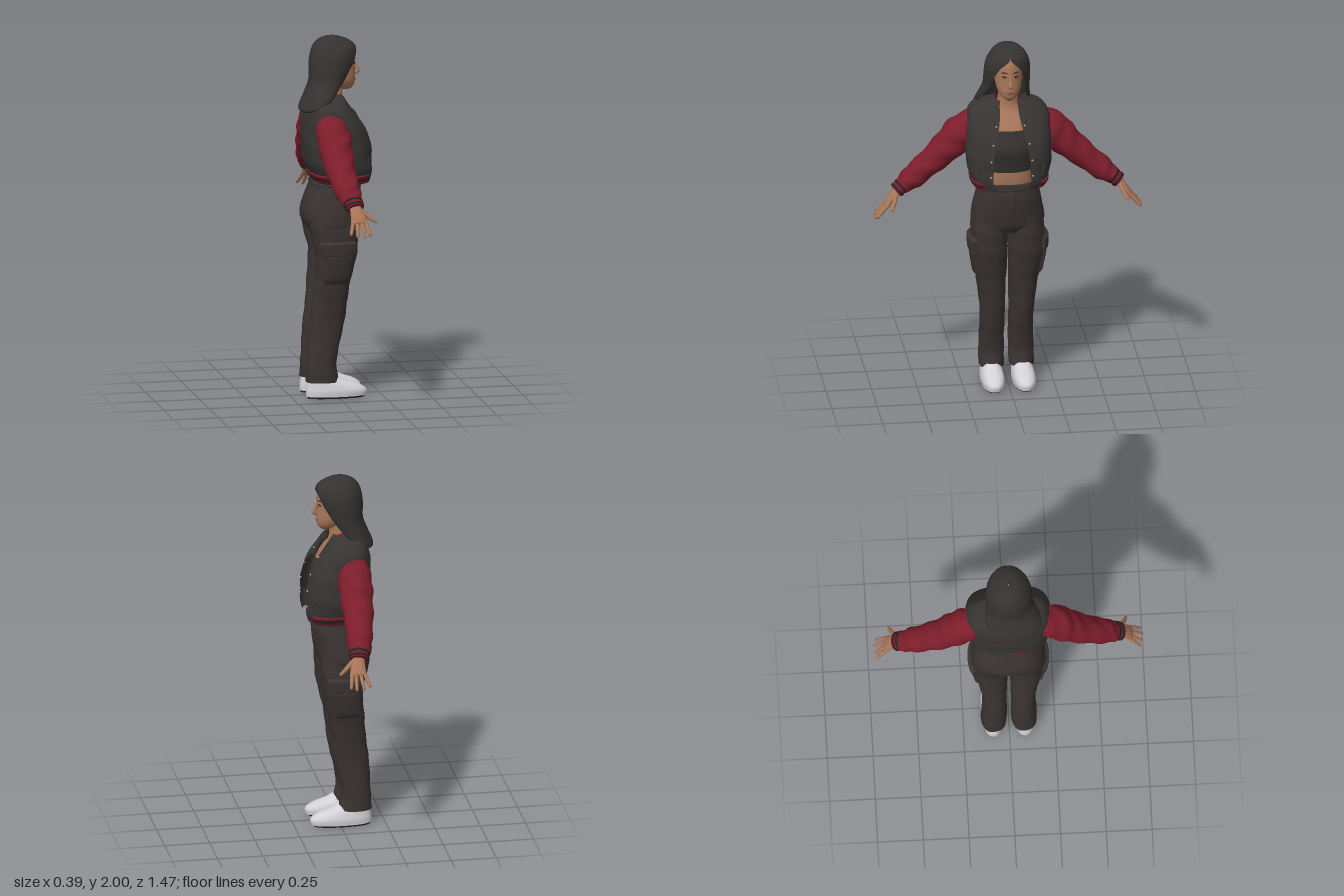
import * as THREE from 'three';
import { toCreasedNormals } from 'three/addons/utils/BufferGeometryUtils.js';

const mat = (name, color) => new THREE.MeshStandardMaterial({ name, color, side: THREE.DoubleSide });
const PI = Math.PI;
const pw = (v, p) => Math.sign(v) * Math.abs(v) ** p;

// Skin a grid of points (rings x columns), optionally with flat ends
function skin(rings, cap) {
  const cols = rings[0].length, pos = [], idx = [];
  rings.forEach(r => r.forEach(p => pos.push(p.x, p.y, p.z)));
  for (let i = 0; i < rings.length - 1; i++) for (let j = 0; j < cols - 1; j++) {
    const a = i * cols + j, b = a + cols;
    idx.push(a, b, b + 1, a, b + 1, a + 1);
  }
  if (cap) [0, rings.length - 1].forEach((r, end) => {
    const c = rings[r].reduce((s, p) => s.add(p), new THREE.Vector3()).divideScalar(cols);
    const k = pos.length / 3;
    pos.push(c.x, c.y, c.z);
    for (let j = 0; j < cols - 1; j++) {
      const a = r * cols + j;
      if (end) idx.push(k, a + 1, a);
      else idx.push(k, a, a + 1);
    }
  });
  const g = new THREE.BufferGeometry();
  g.setAttribute('position', new THREE.Float32BufferAttribute(pos, 3));
  g.setIndex(idx);
  // Enlarged while smoothing so that small parts keep distinct corners
  return toCreasedNormals(g.scale(100, 100, 100), 0.9).scale(0.01, 0.01, 0.01);
}

// Smooth interpolation of section rows at height y; missing columns count as zero
function sample(rows, y) {
  let i = 0;
  while (i < rows.length - 2 && y < rows[i + 1][0]) i++;
  const at = (k, c) => rows[Math.min(Math.max(k, 0), rows.length - 1)][c] ?? 0;
  const h = at(i + 1, 0) - at(i, 0), t = (y - at(i, 0)) / h, t2 = t * t, t3 = t2 * t;
  const slope = (k, c) => (at(k + 1, c) - at(k - 1, c)) / (at(k + 1, 0) - at(k - 1, 0)) * h;
  return [0, 1, 2, 3, 4, 5, 6].map(c => (2 * t3 - 3 * t2 + 1) * at(i, c) + (t3 - 2 * t2 + t) * slope(i, c)
    + (3 * t2 - 2 * t3) * at(i + 1, c) + (t3 - t2) * slope(i + 1, c));
}

// Loft of rows [y, cx, rx, zFront, zBack, openAngle, tilt], listed from top to bottom.
// With range [yTop, yBottom, angle0, angle1] it makes a raised patch on that surface.
function loft(rows, { p = 1, segs = 40, sub = 4, fold = 0, side = 1, range, grow = 0, cap } = {}) {
  const ys = [];
  if (range) {
    for (let i = 0; i <= 8; i++) ys.push(range[0] + (range[1] - range[0]) * i / 8);
    segs = Math.max(8, Math.ceil((range[3] - range[2]) * 11));
  } else rows.forEach((r, i) => {
    if (i) for (let k = 1; k <= sub; k++) ys.push(rows[i - 1][0] + (r[0] - rows[i - 1][0]) * k / sub);
    else ys.push(r[0]);
  });
  return skin(ys.map((y, i) => {
    const [, cx, rx, zf, zb, open, tilt] = sample(rows, y);
    const o = Math.max(open, 0), a0 = range ? range[2] : o, a1 = range ? range[3] : 2 * PI - o;
    return Array.from({ length: segs + 1 }, (_, j) => {
      const a = a0 + (a1 - a0) * j / segs;
      const rim = i === 0 || i === ys.length - 1 || j === 0 || j === segs;
      const g = rim ? 0 : grow, f = 1 + fold * Math.sin(3 * a + 38 * y) * Math.sin(2 * a - 17 * y);
      return new THREE.Vector3(cx * side + (rx + g) * f * pw(Math.sin(a), p),
        y + tilt * Math.cos(a), (zf + zb) / 2 + ((zf - zb) / 2 + g) * f * pw(Math.cos(a), p));
    });
  }), cap);
}

// Oval tube through rows [x, y, z, thickness, width]
function sweep(rows, { side = 1, n = 24, segs = 20, fold = 0 } = {}) {
  const curve = new THREE.CatmullRomCurve3(rows.map(r => new THREE.Vector3(r[0] * side, r[1], r[2])));
  return skin(Array.from({ length: n + 1 }, (_, i) => {
    const u = i / n, k = Math.min(Math.floor(u * (rows.length - 1)), rows.length - 2), f = u * (rows.length - 1) - k;
    const ra = THREE.MathUtils.lerp(rows[k][3], rows[k + 1][3], f), rb = THREE.MathUtils.lerp(rows[k][4], rows[k + 1][4], f);
    const c = curve.getPoint(u), t = curve.getTangent(u);
    const w = new THREE.Vector3(0, 0, 1).addScaledVector(t, -t.z).normalize();
    const s = w.clone().cross(t);
    return Array.from({ length: segs + 1 }, (_, j) => {
      const a = 2 * PI * j / segs, q = 1 + fold * Math.sin(30 * u + 2 * Math.sin(a + 1) + 2 * a);
      return c.clone().addScaledVector(w, rb * q * Math.cos(a)).addScaledVector(s, ra * q * Math.sin(a));
    });
  }), true);
}

// Section rows for the main forms
const HEAD = [[1.97, 0, .03, .05, -.06], [1.94, 0, .062, .092, -.1], [1.88, 0, .078, .113, -.11], [1.82, 0, .076, .113, -.1],
  [1.76, 0, .066, .115, -.06], [1.72, 0, .045, .108, -.02], [1.7, 0, .02, .09, .03]];
const HAIR = [[2, 0, .004, -.016, -.024], [1.992, 0, .042, .03, -.062], [1.975, 0, .072, .075, -.095], [1.945, 0, .1, .113, -.12, .03],
  [1.9, -.002, .12, .12, -.135, .42], [1.84, -.003, .127, .108, -.142, .68], [1.76, -.006, .13, .07, -.143, .85, .004],
  [1.69, -.016, .145, .03, -.175, .95, .02], [1.64, -.022, .155, 0, -.2, 1, .035], [1.62, -.02, .14, -.02, -.185, 1, .035], [1.615, -.01, .08, -.05, -.14, 1, .03]];
const TORSO = [[1.76, 0, .05, .05, -.06], [1.68, 0, .056, .042, -.06], [1.63, 0, .075, .05, -.08], [1.59, 0, .13, .075, -.11],
  [1.52, 0, .15, .115, -.125], [1.42, 0, .15, .148, -.13], [1.32, 0, .135, .125, -.11], [1.24, 0, .135, .12, -.1], [1.18, 0, .14, .11, -.1]];
const JACKET = [[1.68, 0, .075, .035, -.085, .5], [1.665, 0, .13, .045, -.11, .3], [1.645, 0, .185, .055, -.14, .17], [1.6, 0, .22, .085, -.162, .14],
  [1.52, 0, .233, .145, -.173, .2], [1.42, 0, .234, .186, -.175, .29], [1.32, 0, .23, .195, -.167, .33], [1.25, 0, .212, .196, -.142, .38], [1.2, 0, .188, .186, -.115, .42]];
const HIPS = [[1.22, 0, .153, .132, -.12], [1.12, 0, .178, .14, -.16], [1.02, 0, .197, .128, -.186], [.96, 0, .199, .115, -.168], [.92, 0, .17, .09, -.13]];
const LEG = [[1.02, .1, .09, .115, -.16], [.92, .102, .099, .111, -.152], [.8, .101, .099, .1, -.125], [.6, .088, .08, .06, -.135],
  [.4, .079, .067, .034, -.157], [.2, .081, .069, -.008, -.17], [.09, .083, .069, .006, -.176]];
const SHOE = [[.115, .085, .042, .01, -.15], [.09, .085, .052, .06, -.165], [.067, .085, .059, .125, -.17], [.04, .086, .064, .162, -.174], [.01, .086, .062, .16, -.174]];
const SLEEVE = [[.17, 1.54, -.06, .07, .08], [.25, 1.475, -.055, .095, .094], [.325, 1.395, -.052, .087, .09], [.43, 1.302, -.045, .07, .078],
  [.53, 1.222, -.03, .064, .068], [.585, 1.182, -.02, .042, .055]];

export function createModel() {
  const M = {
    skin: mat('skin', 0xa87659), hair: mat('hair', 0x363232), jacket: mat('jacket black', 0x383434), top: mat('top charcoal', 0x353131),
    red: mat('sleeve red', 0x7c1d2b), pants: mat('trouser charcoal', 0x393331), shoe: mat('shoe white', 0xd2d2d6),
    dark: mat('dark trim', 0x262123), lips: mat('lips', 0x8a5348), metal: mat('snap metal', 0xa8a49c),
  };
  const body = new THREE.Group();
  body.name = 'figure';
  const add = (name, geo, m) => {
    const mesh = new THREE.Mesh(geo, m);
    mesh.name = name;
    body.add(mesh);
    return mesh;
  };

  // Head, face and hair
  add('head', loft(HEAD, { cap: true }), M.skin);
  add('nose', sweep([[0, 1.86, .108, .004, .004], [0, 1.825, .12, .008, .009], [0, 1.797, .13, .014, .012], [0, 1.785, .112, .008, .008]], { n: 12 }), M.skin);
  add('lips', loft(HEAD, { range: [1.759, 1.743, -.26, .26], grow: .003 }), M.lips);
  for (const s of [-1, 1]) {
    add('eye', loft(HEAD, { range: [1.851, 1.841, s * .42 - .14, s * .42 + .14], grow: .002 }), M.dark);
    add('eyebrow', loft(HEAD, { range: [1.875, 1.867, s * .43 - .22, s * .43 + .22], grow: .003 }), M.hair);
  }
  add('hair', loft(HAIR, { segs: 56, sub: 5 }), M.hair);

  // Torso and cropped top
  add('torso', loft(TORSO, { p: .85 }), M.skin);
  const top = [1.53, 1.48, 1.42, 1.36, 1.29].map(y => {
    const [, cx, rx, zf, zb] = sample(TORSO, y);
    return [y, cx, rx + .006, zf + .007, zb - .006];
  });
  add('croppedTop', loft(top, { p: .85 }), M.top);
  for (const side of [-1, 1]) {
    add('topStrap', sweep([[.075, 1.52, .118, .006, .012], [.085, 1.58, .09, .006, .012], [.08, 1.63, .03, .006, .012]], { side, n: 10, segs: 10 }), M.top);
  }

  // Open jacket with ribbed hem, collar, snaps and pockets
  add('jacketBody', loft(JACKET, { p: .72, segs: 72, fold: .018 }), M.jacket);
  add('jacketHem', loft(JACKET, { p: .72, range: [1.252, 1.199, .72, 2 * PI - .72], grow: .007 }), M.red);
  add('hemStripe', loft(JACKET, { p: .72, range: [1.234, 1.218, .72, 2 * PI - .72], grow: .011 }), M.dark);
  add('collar', loft([[1.69, 0, .068, .05, -.08, .75, -.025], [1.67, 0, .078, .058, -.088, .7, -.025], [1.645, 0, .088, .062, -.096, .65, -.02]]), M.red);
  for (const s of [-1, 1]) {
    for (const y of [1.56, 1.47, 1.38, 1.29]) {
      const [, , rx, zf, zb, open] = sample(JACKET, y), a = open + .06;
      const snap = add('snap', new THREE.SphereGeometry(.006, 10, 6), M.metal);
      snap.position.set(s * rx * pw(Math.sin(a), .72), y, (zf + zb) / 2 + (zf - zb) / 2 * pw(Math.cos(a), .72));
    }
    add('jacketPocketWelt', loft(JACKET, { p: .72, range: [1.35, 1.275, s * .78 - .05, s * .78 + .05], grow: .005 }), M.jacket);
  }

  // Arms: sleeve, striped cuff, palm, fingers
  for (const side of [-1, 1]) {
    add('sleeve', sweep(SLEEVE, { side, n: 60, segs: 32, fold: .045 }), M.red);
    const cuff = (name, a, b, r, m) => {
      const at = t => [.565 + .05 * t, 1.2 - .042 * t, -.022 + .01 * t, r - .004 * t, r + .01 - .004 * t];
      add(name, sweep([at(a), at((a + b) / 2), at(b)], { side, n: 4 }), m);
    };
    cuff('cuff', 0, 1, .044, M.red);
    cuff('cuffStripe', .3, .5, .047, M.dark);
    cuff('cuffStripe', .72, .9, .047, M.dark);
    add('palm', sweep([[.59, 1.178, -.014, .025, .032], [.625, 1.145, -.008, .02, .035], [.655, 1.108, -.002, .017, .043],
      [.672, 1.086, 0, .012, .042], [.676, 1.081, 0, .003, .03]], { side }), M.skin);
    [[-.032, -.056, .86], [-.011, -.022, 1], [.012, .018, 1.03], [.033, .048, .93]].forEach(([z0, z1, l]) =>
      add('finger', sweep([[.655, 1.103, z0, .01, .011], [.655 + .04 * l, 1.103 - .044 * l, (z0 + z1) / 2, .01, .0105],
        [.655 + .073 * l, 1.103 - .08 * l, z1, .008, .008], [.655 + .077 * l, 1.103 - .085 * l, z1, .002, .002]], { side, n: 12, segs: 10 }), M.skin));
    add('thumb', sweep([[.615, 1.15, .012, .014, .016], [.628, 1.122, .048, .013, .014], [.64, 1.1, .075, .011, .011],
      [.648, 1.085, .096, .008, .008], [.649, 1.083, .1, .002, .002]], { side, n: 14, segs: 10 }), M.skin);
  }

  // Cargo trousers
  add('trouserHips', loft(HIPS, { p: .85, sub: 6, fold: .008 }), M.pants);
  add('waistband', loft(HIPS, { p: .85, range: [1.219, 1.18, 0, 2 * PI], grow: .004 }), M.pants);
  add('fly', loft(HIPS, { p: .85, range: [1.18, 1.04, -.02, .1], grow: .003 }), M.pants);
  for (const a of [.5, 1.4, 2.5, 3.78, 4.88, 5.78]) add('beltLoop', loft(HIPS, { p: .85, range: [1.219, 1.17, a - .05, a + .05], grow: .01 }), M.pants);
  for (const side of [-1, 1]) {
    const mid = side * PI / 2;
    add('trouserLeg', loft(LEG, { p: .85, sub: 8, fold: .03, side }), M.pants);
    add('cargoPocket', loft(LEG, { p: .85, side, range: [.83, .645, mid - .62, mid + .62], grow: .014 }), M.pants);
    add('pocketFlap', loft(LEG, { p: .85, side, range: [.885, .8, mid - .8, mid + .8], grow: .02 }), M.pants);

    // Shoes
    add('shoe', loft(SHOE, { p: .85, side, cap: true }), M.shoe);
    add('sole', loft([[.014, .086, .06, .157, -.172], [0, .086, .056, .145, -.168]], { p: .85, side, cap: true, sub: 1 }), M.dark);
  }

  // The figure faces +x
  body.rotation.y = PI / 2;
  const model = new THREE.Group();
  model.name = 'standingWoman';
  model.add(body);
  return model;
}
